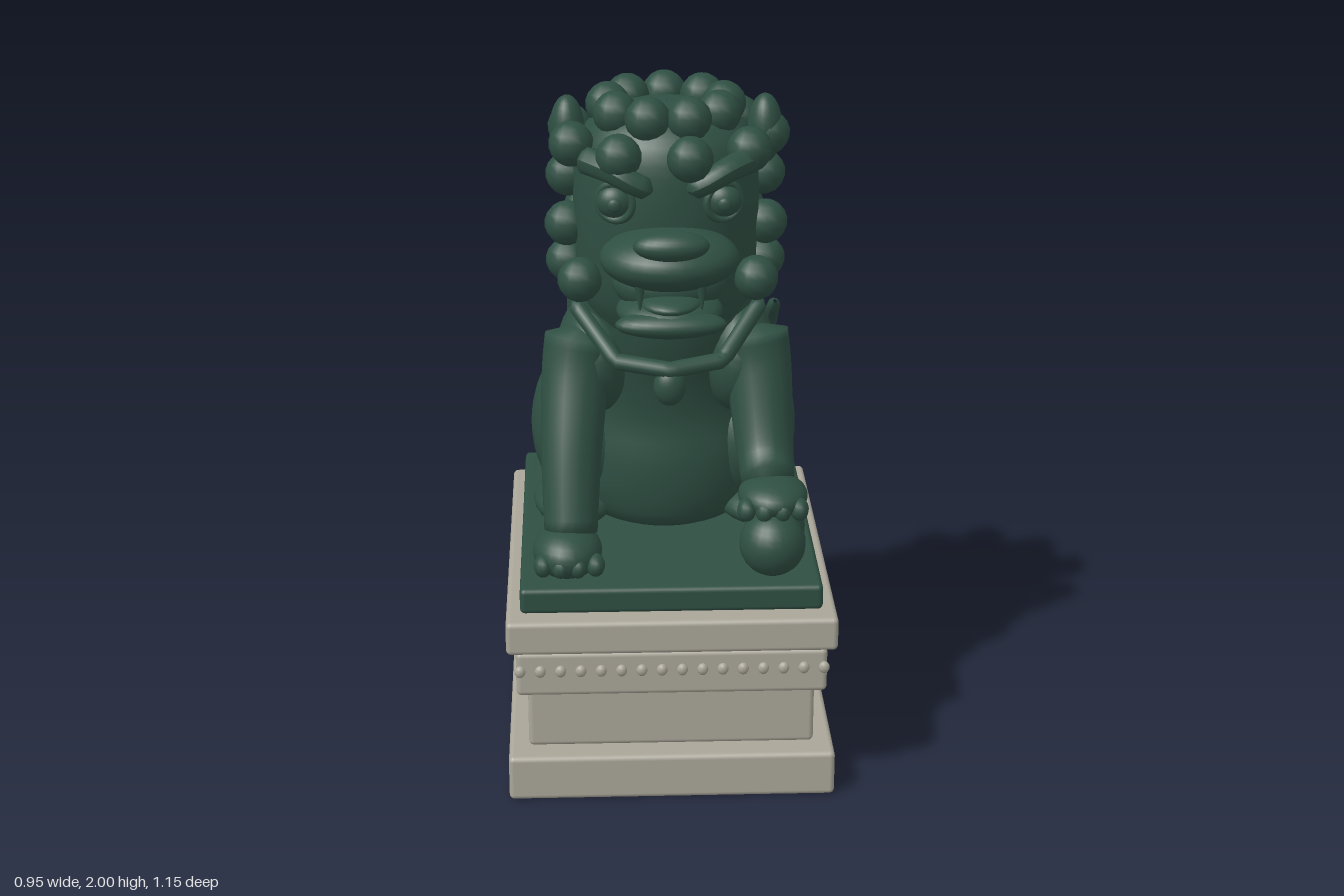
import * as THREE from 'three';
import { mergeVertices } from 'three/addons/utils/BufferGeometryUtils.js';
import { RoundedBoxGeometry } from 'three/addons/geometries/RoundedBoxGeometry.js';

const mat = (name, color) => {
  const m = new THREE.MeshStandardMaterial({ color });
  m.name = name;
  return m;
};

// Smooth oval loft; each row is [y, front z, back z, half width]
function loft(rows, steps = 28, segments = 36) {
  const width = new THREE.CatmullRomCurve3(rows.map(r => new THREE.Vector3(r[3], r[0], 0))).getPoints(steps);
  const depth = new THREE.CatmullRomCurve3(rows.map(r => new THREE.Vector3((r[1] + r[2]) / 2, r[0], (r[1] - r[2]) / 2))).getPoints(steps);
  const g = new THREE.LatheGeometry(width.map(p => new THREE.Vector2(Math.max(p.x, 0.001), p.y)), segments);
  const pos = g.attributes.position, n = steps + 1;
  for (let k = 0; k < pos.count; k++) {
    const d = depth[k % n], rx = Math.max(width[k % n].x, 0.001);
    pos.setZ(k, d.x + pos.getZ(k) * Math.max(d.z, 0.001) / rx);
  }
  g.deleteAttribute('uv');
  g.deleteAttribute('normal');
  const merged = mergeVertices(g);
  merged.computeVertexNormals();
  return merged;
}

// Round tube narrowing from r0 to r1, with closed ends; tension 0 keeps the path straight between points
function taperTube(points, r0, r1, segments = 16, sides = 12, tension = 0.5) {
  const curve = new THREE.CatmullRomCurve3(points.map(p => new THREE.Vector3(...p)), false, 'catmullrom', tension);
  const g = new THREE.TubeGeometry(curve, segments, 1, sides);
  const pos = g.attributes.position, v = new THREE.Vector3();
  for (let k = 0; k < pos.count; k++) {
    const row = Math.floor(k / (sides + 1)), c = curve.getPointAt(row / segments);
    const end = row === 0 || row === segments ? 0.3 : 1;
    v.fromBufferAttribute(pos, k).sub(c).multiplyScalar(end * (r0 + (r1 - r0) * row / segments)).add(c);
    pos.setXYZ(k, v.x, v.y, v.z);
  }
  g.computeVertexNormals();
  return g;
}

export function createModel() {
  const model = new THREE.Group();
  model.name = 'guardianLion';
  const green = mat('patinaGreen', 0x2f4f43);
  const stone = mat('paleStone', 0xaaa699);

  const add = (name, geometry, p = [0, 0, 0], material = green, parent = model) => {
    const m = new THREE.Mesh(geometry, material);
    m.name = name;
    m.position.set(...p);
    parent.add(m);
    return m;
  };
  const blob = (name, p, r, parent = model, ws = 24, hs = 16, material = green) => {
    const m = add(name, new THREE.SphereGeometry(1, ws, hs), p, material, parent);
    m.scale.set(...r);
    return m;
  };

  // Plinth: stacked slabs [name, half x, bottom, top, half z]
  const slabs = [
    ['plinthBase', 0.473, 0, 0.137, 0.577], ['plinthWaist', 0.415, 0.137, 0.32, 0.505],
    ['plinthFrieze', 0.447, 0.32, 0.456, 0.543], ['plinthCornice', 0.473, 0.466, 0.567, 0.577],
    ['lionSlab', 0.432, 0.572, 0.648, 0.527],
  ];
  for (const [name, hx, y0, y1, hz] of slabs) {
    add(name, new RoundedBoxGeometry(hx * 2, y1 - y0, hz * 2, 3, 0.015), [0, (y0 + y1) / 2, 0],
      name === 'lionSlab' ? green : stone);
  }
  // Bead rows along front and back
  for (const side of [1, -1]) for (let i = 0; i < 16; i++) {
    blob('bead', [-0.435 + i * 0.058, 0.41, side * 0.564], [0.016, 0.018, 0.012], model, 10, 8, stone);
  }

  // Torso
  add('body', loft([
    [0.645, 0.06, -0.24, 0.14], [0.67, 0.13, -0.32, 0.23], [0.75, 0.165, -0.42, 0.3], [0.88, 0.175, -0.475, 0.325],
    [1.0, 0.16, -0.49, 0.32], [1.12, 0.18, -0.475, 0.305], [1.25, 0.22, -0.42, 0.29],
    [1.35, 0.24, -0.345, 0.285], [1.42, 0.25, -0.26, 0.26], [1.5, 0.22, -0.12, 0.2],
  ]));

  for (const s of [1, -1]) {
    // Hind leg
    blob('haunch', [s * 0.225, 0.895, -0.16], [0.178, 0.255, 0.285], model, 32, 24);
    blob('hindFoot', [s * 0.275, 0.705, -0.02], [0.122, 0.06, 0.19]);
    // Foreleg; the left paw rests on a ball
    const raised = s > 0, foot = raised ? 0.88 : 0.72;
    blob('shoulder', [s * 0.21, 1.19, 0.05], [0.112, 0.175, 0.19]);
    add('frontLeg', taperTube([
      [s * 0.245, 1.3, 0.13], [s * 0.265, 1.17, 0.165], [s * 0.28, 0.96, 0.26], [s * 0.285, foot, 0.36],
    ], 0.105, 0.075, 20, 20));
    const pawY = raised ? 0.86 : 0.695;
    blob('frontPaw', [s * 0.295, pawY + 0.01, 0.375], [0.1, raised ? 0.055 : 0.075, 0.12]);
    for (let i = 0; i < 4; i++) {
      const z = 0.465 - Math.abs(i - 1.5) * 0.01;
      blob('toe', [s * (0.215 + i * 0.05), pawY - 0.005, z], [0.027, 0.033, 0.04], model, 12, 10);
    }
  }
  blob('pawHeel', [0.305, 0.755, 0.335], [0.088, 0.1, 0.11]);
  blob('ball', [0.29, 0.752, 0.452], [0.095, 0.095, 0.095]);

  // Tail bending up round the left side
  add('tail', taperTube([
    [0.08, 0.94, -0.43], [0.21, 0.99, -0.48], [0.335, 1.13, -0.385], [0.343, 1.25, -0.23],
  ], 0.045, 0.018, 24, 10, 0));

  // Head
  const head = new THREE.Group();
  head.name = 'head';
  model.add(head);
  add('skull', loft([
    [1.3, 0.24, -0.12, 0.2], [1.4, 0.29, -0.16, 0.25], [1.55, 0.32, -0.18, 0.262], [1.72, 0.33, -0.18, 0.265],
    [1.85, 0.31, -0.16, 0.25], [1.92, 0.25, -0.09, 0.19], [1.95, 0.16, 0.0, 0.08], [1.955, 0.09, 0.07, 0.001],
  ]), [0, 0, 0], green, head);

  // Mane curls: [height, ring radius, first angle, step, count]
  const rings = [
    [1.937, 0.167, 20, 40, 9], [1.857, 0.288, 11, 40, 9], [1.73, 0.285, 100, 40, 5],
    [1.597, 0.285, 90, 36, 6], [1.473, 0.288, 60, 40, 7],
  ];
  rings.forEach(([y, radius, start, step, count]) => {
    for (let i = 0; i < count; i++) {
      const a = THREE.MathUtils.degToRad(start + i * step);
      blob('maneCurl', [Math.sin(a) * radius, y, 0.08 + Math.cos(a) * radius], [0.064, 0.064, 0.064], head, 12, 9);
    }
  });

  // Face
  blob('muzzle', [0, 1.57, 0.335], [0.195, 0.085, 0.168], head, 32, 20);
  blob('nose', [0, 1.64, 0.458], [0.105, 0.042, 0.054], head);
  blob('lowerJaw', [0, 1.42, 0.34], [0.15, 0.055, 0.15], head);
  blob('lowerLip', [0, 1.41, 0.44], [0.155, 0.038, 0.062], head);
  blob('tongue', [0, 1.455, 0.37], [0.09, 0.03, 0.11], head);
  blob('mouthInside', [0, 1.49, 0.3], [0.16, 0.09, 0.115], head);
  for (const s of [1, -1]) {
    blob('ear', [s * 0.28, 1.87, 0.075], [0.05, 0.1, 0.06], head);
    blob('eye', [s * 0.15, 1.725, 0.305], [0.052, 0.048, 0.04], head);
    const rim = add('eyeRim', new THREE.TorusGeometry(0.052, 0.011, 8, 24), [s * 0.15, 1.725, 0.318], green, head);
    rim.rotation.y = s * 0.4;
    blob('pupil', [s * 0.152, 1.722, 0.343], [0.02, 0.02, 0.01], head, 12, 8);
    add('brow', taperTube([
      [s * 0.05, 1.765, 0.35], [s * 0.1, 1.79, 0.36], [s * 0.16, 1.82, 0.34], [s * 0.24, 1.835, 0.26],
    ], 0.03, 0.04, 12, 10), [0, 0, 0], green, head);
    const fang = add('fang', new THREE.ConeGeometry(0.018, 0.1, 10), [s * 0.085, 1.482, 0.43], green, head);
    fang.rotation.x = Math.PI;
  }

  // Collar and pendant
  const collar = [[-0.27, 1.4, 0.2], [-0.15, 1.265, 0.335], [0, 1.25, 0.37], [0.15, 1.265, 0.335], [0.27, 1.4, 0.2]];
  add('collar', taperTube(collar, 0.024, 0.024, 40, 10, 0));
  blob('pendant', [0, 1.198, 0.36], [0.046, 0.057, 0.038]);

  return model;
}
